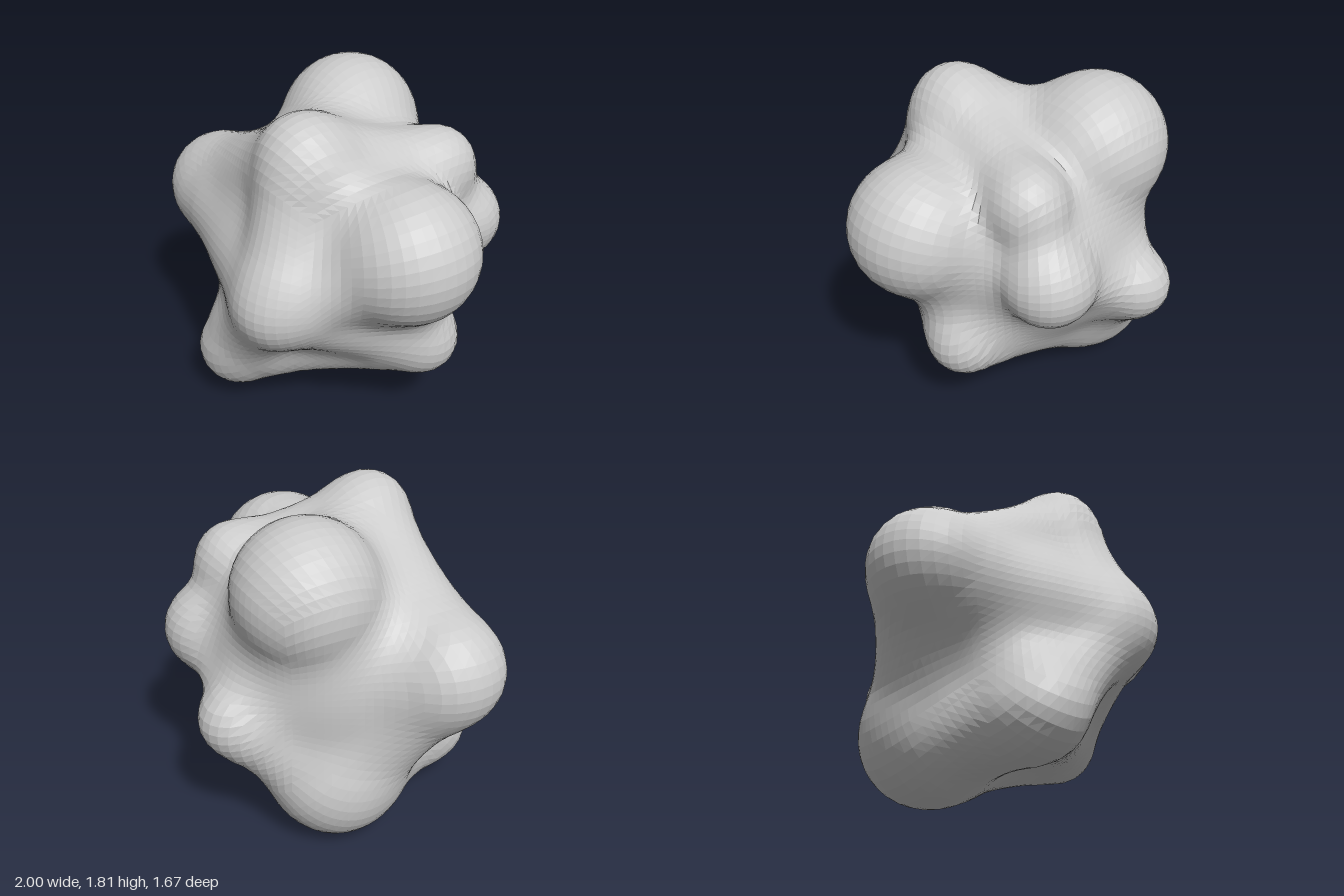
import * as THREE from 'three';
import { mergeVertices } from 'three/addons/utils/BufferGeometryUtils.js';

const CORE = new THREE.Vector3(-0.03, 0.93, 0.01);

// Rounded lobes: centre x, y, z and radius
const LOBES = {
  sideRight: [-0.71, 1.05, 0.31, 0.29],
  sideLeft: [0.65, 1.18, 0.06, 0.35],
  crown: [-0.28, 1.44, -0.27, 0.37],
  topFront: [0.15, 1.58, 0.34, 0.21],
  topBack: [0.32, 1.4, -0.39, 0.18],
  backLeft: [0.33, 1.01, -0.56, 0.22],
  backRight: [-0.22, 0.77, -0.66, 0.17],
  bottom: [-0.37, 0.34, -0.14, 0.33],
  lowFront: [-0.2, 0.32, 0.57, 0.21],
  chest: [0.29, 0.9, 0.61, 0.21],
  lowLeft: [0.54, 0.51, -0.14, 0.19],
};

// Fill between neighbouring lobes: two lobes and how full the bridge is
const WEBS = [
  ['sideRight', 'chest', 0.8], ['sideRight', 'topFront', 0.75], ['sideRight', 'bottom', 0.75],
  ['topFront', 'chest', 0.85], ['topFront', 'topBack', 0.7], ['topFront', 'crown', 0.55],
  ['topFront', 'sideLeft', 0.5], ['sideLeft', 'chest', 0.65], ['sideLeft', 'lowLeft', 0.45],
  ['lowFront', 'chest', 0.75], ['lowFront', 'lowLeft', 0.75], ['lowFront', 'bottom', 0.88],
  ['lowLeft', 'chest', 0.7], ['lowLeft', 'bottom', 0.87], ['backLeft', 'topBack', 0.6],
  ['backRight', 'bottom', 0.85], ['backRight', 'backLeft', 0.35],
];

const centre = (name) => new THREE.Vector3(...LOBES[name].slice(0, 3));

// Tapered capsules: a wide spoke from the core to each lobe, plus the webs
function makeCapsules() {
  const capsules = Object.keys(LOBES).map((name) => (
    { a: CORE, b: centre(name), ra: 0.46, rb: LOBES[name][3] }
  ));
  for (const [from, to, fullness] of WEBS) {
    const a = centre(from);
    const b = centre(to);
    const radius = (t) => fullness * THREE.MathUtils.lerp(LOBES[from][3], LOBES[to][3], t);
    // webs stop short of the lobe tips
    capsules.push({
      a: a.clone().lerp(b, 0.25), b: a.clone().lerp(b, 0.75), ra: radius(0.25), rb: radius(0.75),
    });
  }
  for (const c of capsules) c.ab = c.b.clone().sub(c.a);
  return capsules;
}

// Distance to the smooth blend of the core and all capsules
function makeField() {
  const capsules = makeCapsules();
  const k = 0.055;
  const q = new THREE.Vector3();
  return (p) => {
    let sum = Math.exp(-(p.distanceTo(CORE) - 0.62) / k);
    for (const { a, ab, ra, rb } of capsules) {
      const t = THREE.MathUtils.clamp(q.copy(p).sub(a).dot(ab) / ab.lengthSq(), 0, 1);
      q.copy(a).addScaledVector(ab, t);
      sum += Math.exp(-(p.distanceTo(q) - ra - (rb - ra) * t) / k);
    }
    return -k * Math.log(sum);
  };
}

// Even quad sphere whose vertices are pulled onto the blended surface
function blobGeometry(segments) {
  let geo = new THREE.BoxGeometry(2, 2, 2, segments, segments, segments);
  geo.deleteAttribute('normal');
  geo.deleteAttribute('uv');
  geo = mergeVertices(geo, 1e-4);
  const field = makeField();
  const pos = geo.attributes.position;
  const dir = new THREE.Vector3();
  const p = new THREE.Vector3();
  for (let i = 0; i < pos.count; i++) {
    dir.fromBufferAttribute(pos, i);
    // tangent warp keeps the quads near equal in size
    dir.set(...dir.toArray().map((v) => Math.tan(v * Math.PI / 4))).normalize();
    let r = 1.7;
    for (let s = 0; s < 90; s++) {
      const d = field(p.copy(CORE).addScaledVector(dir, r));
      if (d < 0.0005) break;
      r -= d * 0.8;
    }
    p.copy(CORE).addScaledVector(dir, r);
    pos.setXYZ(i, p.x, p.y, p.z);
  }
  // Stand the body on the ground
  geo.computeBoundingBox();
  geo.translate(0, -geo.boundingBox.min.y, 0);
  geo.computeVertexNormals();
  return geo;
}

export function createModel() {
  const group = new THREE.Group();
  group.name = 'lumpyBlob';
  const material = new THREE.MeshStandardMaterial({ color: 0xcccccc, flatShading: true });
  const body = new THREE.Mesh(blobGeometry(26), material);
  body.name = 'lobedBody';
  group.add(body);
  return group;
}
